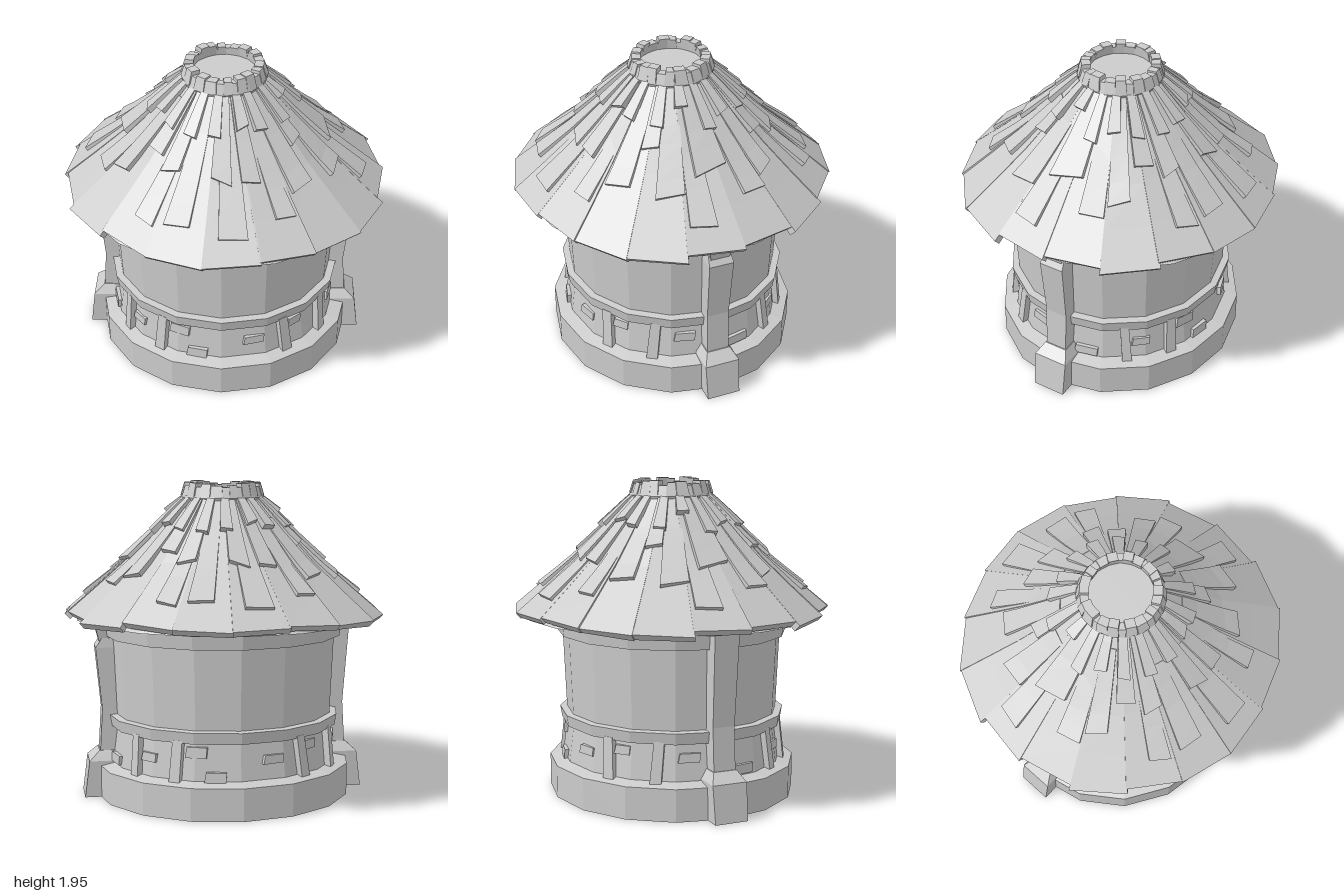
import * as THREE from 'three';

const mat = new THREE.MeshStandardMaterial({ color: 0xcccccc, flatShading: true, side: THREE.DoubleSide });
const rad = THREE.MathUtils.degToRad;

// The walls are slightly wider than deep
const WIDE = 1.025, DEEP = 0.98;
const oval = deg => Math.hypot(WIDE * Math.sin(rad(deg)), DEEP * Math.cos(rad(deg)));

// Roof slope: radius -> height
const SLOPE = [[0.2, 1.9], [0.26, 1.84], [0.44, 1.635], [0.62, 1.45], [0.84, 1.255], [1.0, 1.115]];
function slopeY(r) {
  let i = 1;
  while (i < SLOPE.length - 1 && r > SLOPE[i][0]) i++;
  const [r0, y0] = SLOPE[i - 1], [r1, y1] = SLOPE[i];
  return y0 + (y1 - y0) * (r - r0) / (r1 - r0);
}

function seeded(seed) {
  return () => (seed = (seed * 16807) % 2147483647) / 2147483647;
}

function add(parent, name, geometry) {
  const mesh = new THREE.Mesh(geometry, mat);
  mesh.name = name;
  parent.add(mesh);
}

function lathe(parent, name, points, sides, wide = 1, deep = 1) {
  const g = new THREE.LatheGeometry(points.map(p => new THREE.Vector2(...p)), sides);
  add(parent, name, g.scale(wide, 1, deep));
}

// Box whose corners are moved by a rule (x, y, z in -0.5..0.5), then turned to face an angle
function shaped(rule, deg, segments = 1) {
  const g = new THREE.BoxGeometry(1, 1, 1, 1, 1, segments);
  const p = g.attributes.position;
  for (let i = 0; i < p.count; i++) p.setXYZ(i, ...rule(p.getX(i), p.getY(i), p.getZ(i)));
  g.rotateY(rad(deg));
  g.computeVertexNormals();
  return g;
}

// Plank lying on the roof slope from radius r0 to r1
function plank(deg, r0, r1, w0, w1, { low = -0.02, lift0 = 0.006, lift1 = 0.035, skew = 0, tilt = 0 } = {}) {
  return shaped((x, y, z) => {
    const t = z + 0.5;
    const r = r0 + (r1 + skew * x - r0) * t;
    const off = y < 0 ? low : lift0 + (lift1 - lift0) * t + tilt * x * t;
    return [x * (w0 + (w1 - w0) * t), slopeY(r) + off * 0.73, r + off * 0.68];
  }, deg, 4);
}

// Upright block tapering from bottom to top: each end is [y, inner, outer, width]
function upright(deg, bottom, top, shift = 0) {
  return shaped((x, y, z) => {
    const e = y < 0 ? bottom : top;
    return [x * e[3] + shift * (y + 0.5), e[0], z < 0 ? e[1] : e[2]];
  }, deg);
}

export function createModel() {
  const model = new THREE.Group();
  model.name = 'roundHut';

  // Round walls, open below
  const wall = (name, points) => lathe(model, name, points, 16, WIDE, DEEP);
  wall('base', [[0.785, 0], [0.785, 0.2], [0.7, 0.22]]);
  wall('lowerWall', [[0.7, 0.22], [0.67, 0.46]]);
  wall('middleBand', [[0.67, 0.45], [0.705, 0.445], [0.717, 0.515], [0.67, 0.52]]);
  wall('upperWall', [[0.672, 0.5], [0.695, 1.03]]);
  wall('topBand', [[0.695, 1.02], [0.728, 1.01], [0.745, 1.14], [0.735, 1.29]]);

  // Roof lining
  lathe(model, 'roofLining', [[0.93, 1.125], [0.84, 1.22], [0.62, 1.415], [0.44, 1.6], [0.25, 1.82]], 18);

  // Side posts with footing and head; the +x one has a broken notch near the top
  for (const deg of [90, -90]) {
    const post = new THREE.Group();
    post.name = deg > 0 ? 'leftPost' : 'rightPost';
    model.add(post);
    add(post, 'footing', upright(deg, [0, 0.7, 0.885, 0.21], [0.23, 0.68, 0.855, 0.22]));
    add(post, 'footingCap', upright(deg, [0.23, 0.68, 0.855, 0.22], [0.29, 0.67, 0.79, 0.15]));
    add(post, 'lowerShaft', upright(deg, [0.27, 0.67, 0.785, 0.14], [0.55, 0.66, 0.768, 0.14]));
    if (deg > 0) {
      add(post, 'upperShaft', upright(deg, [0.55, 0.66, 0.768, 0.14], [0.94, 0.67, 0.805, 0.155]));
      add(post, 'shaftTop', upright(deg, [0.94, 0.67, 0.805, 0.155], [1.0, 0.67, 0.765, 0.14]));
      add(post, 'head', upright(deg, [0.97, 0.67, 0.78, 0.12], [1.17, 0.68, 0.83, 0.18]));
    } else {
      add(post, 'upperShaft', upright(deg, [0.55, 0.66, 0.768, 0.14], [1.17, 0.68, 0.812, 0.16]));
    }
  }

  // The details repeat after half a turn
  for (const turn of [0, 180]) {
    const half = new THREE.Group();
    half.name = turn ? 'rearHalf' : 'frontHalf';
    half.rotation.y = rad(turn);
    model.add(half);
    const rnd = seeded(77);

    // Short stakes between base and middle band
    for (const [deg, w, lean] of [[35, 0.07, -0.02], [59, 0.07, 0.02], [124, 0.06, -0.015], [147, 0.07, 0.01]]) {
      const k = oval(deg);
      add(half, 'stake', upright(deg, [0.2, 0.68 * k, 0.725 * k, w], [0.46, 0.65 * k, 0.695 * k, w * 0.9], lean));
    }

    // Loose bricks showing in the lower wall
    for (const [deg, y, w] of [[17, 0.34, 0.13], [41, 0.39, 0.1], [75, 0.36, 0.13],
      [103, 0.26, 0.15], [131, 0.335, 0.11], [157, 0.39, 0.13], [167, 0.245, 0.13]]) {
      const h = 0.026 + 0.008 * rnd(), r = (0.7 - (y - 0.22) * 0.13) * oval(deg);
      add(half, 'brick', upright(deg, [y - h, r - 0.03, r + 0.01, w], [y + h, r - 0.03, r + 0.006, w * 0.95], 0.008));
    }

    // Long roof planks down to the ragged eave
    [0.955, 0.95, 0.97, 0.98, 0.957, 0.95, 0.97, 0.945, 0.96].forEach((r1, i) => {
      add(half, 'eavePlank', plank(i * 20 + 4, 0.22, r1, 0.082, r1 * 0.36,
        { low: -0.03, lift0: 0, lift1: 0.014, skew: 0.05 * (rnd() - 0.5), tilt: 0.03 * (rnd() - 0.4) }));
    });

    // Overlapping shingles: angle, start radius, end radius, width
    for (const [deg, r0, r1, w] of [
      [5, 0.4, 0.84, 0.17], [-18, 0.4, 0.8, 0.15], [0, 0.25, 0.59, 0.12], [16, 0.25, 0.6, 0.11],
      [28, 0.5, 0.78, 0.12], [42, 0.35, 0.68, 0.15], [55, 0.25, 0.5, 0.1], [68, 0.4, 0.7, 0.17],
      [81, 0.5, 0.84, 0.16], [90, 0.25, 0.6, 0.2], [108, 0.45, 0.74, 0.15], [120, 0.3, 0.68, 0.13],
      [135, 0.25, 0.53, 0.11], [148, 0.5, 0.82, 0.13], [150, 0.25, 0.58, 0.11]])
      add(half, 'shingle', plank(deg, r0, r1, w * (0.3 + 0.6 * r0 / r1), w,
        { skew: 0.07 * (rnd() - 0.5), tilt: 0.015 * (rnd() - 0.5) }));

    // Short shingles close to the collar
    for (let i = 0; i < 9; i++)
      add(half, 'shortShingle', plank(i * 20 + 12 + 6 * rnd(), 0.23, 0.33 + 0.11 * rnd(), 0.045, 0.075,
        { lift0: 0.01, lift1: 0.042, skew: 0.05 * (rnd() - 0.5) }));

    // Uneven blocks on the collar
    for (let i = 0; i < 9; i++) {
      const y = 1.93 + 0.025 * rnd(), w = 0.055 + 0.025 * rnd();
      add(half, 'collarBlock', upright(i * 20 + 8 * rnd(), [1.87, 0.19, 0.258, w], [y, 0.18, 0.235, w * 0.85], 0.015 * (rnd() - 0.5)));
    }
  }

  // Collar ring closed by a flat cap set below its rim
  lathe(model, 'collar', [[0.24, 1.8], [0.26, 1.86], [0.238, 1.925], [0.19, 1.925], [0.195, 1.87]], 18);
  lathe(model, 'collarCap', [[0.2, 1.88], [0, 1.88]], 18);

  return model;
}
